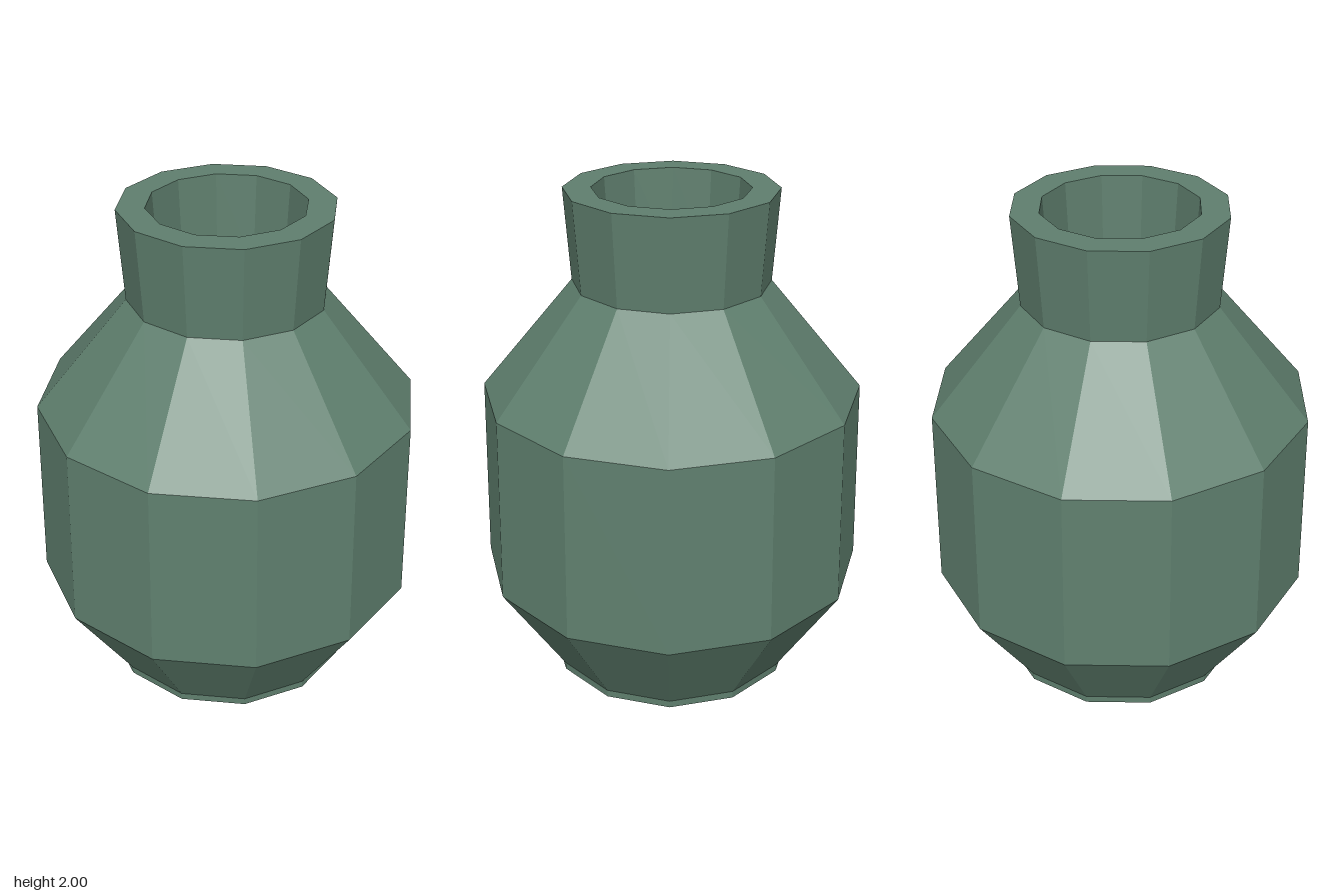
import * as THREE from 'three';

const SIDES = 12;

export function createModel() {
  const group = new THREE.Group();
  group.name = 'vase';
  const material = new THREE.MeshStandardMaterial({ color: 0x5f7f6e, flatShading: true });

  // Revolve a faceted profile of [radius, height] pairs
  const lathe = (name, profile) => {
    const points = profile.map(([r, y]) => new THREE.Vector2(r, y));
    const mesh = new THREE.Mesh(new THREE.LatheGeometry(points, SIDES), material);
    mesh.name = name;
    group.add(mesh);
  };

  // Base, foot band, belly and sloping shoulder
  lathe('body', [[0, 0], [0.51, 0], [0.51, 0.03], [0.77, 0.44], [0.75, 1.2], [0.385, 1.64]]);

  // Flared neck, flat rim, inner wall and floor of the opening
  lathe('neck', [[0.385, 1.64], [0.41, 2], [0.302, 2], [0.28, 1.64], [0, 1.64]]);

  return group;
}
